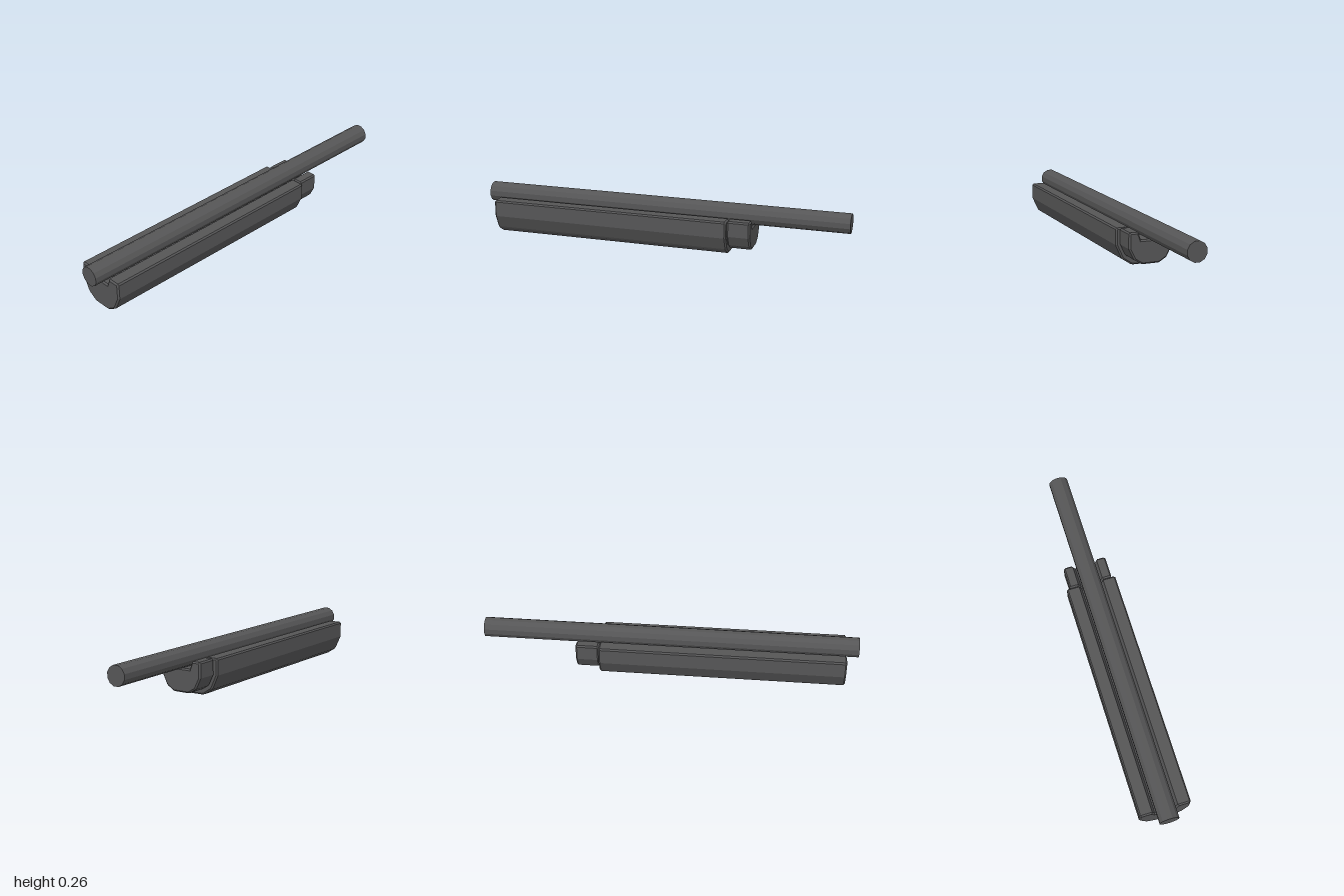
import * as THREE from 'three';

// Half outlines (z, y) running from the notch floor, over the rim, down to the underside.
const BODY = [
  [0.053, 0.159], [0.068, 0.2], [0.13, 0.2], [0.137, 0.192], [0.137, 0.112],
  [0.106, 0.044], [0.099, 0.034], [0.056, 0.006], [0.042, 0.001],
];
const NOSE = [
  [0.053, 0.159], [0.068, 0.2], [0.111, 0.2], [0.118, 0.192], [0.118, 0.117],
  [0.092, 0.064], [0.086, 0.057], [0.05, 0.035], [0.042, 0.033],
];

// Mirrors a half outline and extrudes it along x with chamfered ends.
function channel(half, x0, x1, bevel) {
  const mirrored = half.map(([z, y]) => [-z, y]).reverse();
  const shape = new THREE.Shape([...half, ...mirrored].map(([z, y]) => new THREE.Vector2(z, y)));
  const geo = new THREE.ExtrudeGeometry(shape, {
    depth: x1 - x0 - 2 * bevel,
    bevelEnabled: true, bevelSegments: 1,
    bevelSize: bevel, bevelThickness: bevel, bevelOffset: -bevel,
  });
  geo.rotateY(Math.PI / 2);
  geo.translate(x0 + bevel, 0, 0);
  return geo;
}

export function createModel() {
  const group = new THREE.Group();
  const darkGrey = new THREE.MeshStandardMaterial({ color: 0x555556, flatShading: true });
  darkGrey.name = 'dark grey';

  const add = (name, geo) => {
    const mesh = new THREE.Mesh(geo, darkGrey);
    mesh.name = name;
    group.add(mesh);
  };

  // Twelve-sided rod with flats at top and bottom
  const rod = new THREE.CylinderGeometry(0.053, 0.053, 2, 12, 1, false, Math.PI / 12);
  rod.rotateZ(Math.PI / 2);
  rod.translate(0, 0.213, 0);
  add('rod', rod);

  // Grooved grip below the rod and its smaller front end
  add('grip', channel(BODY, -0.937, 0.37, 0.008));
  add('gripNose', channel(NOSE, 0.37, 0.494, 0.008));

  return group;
}
